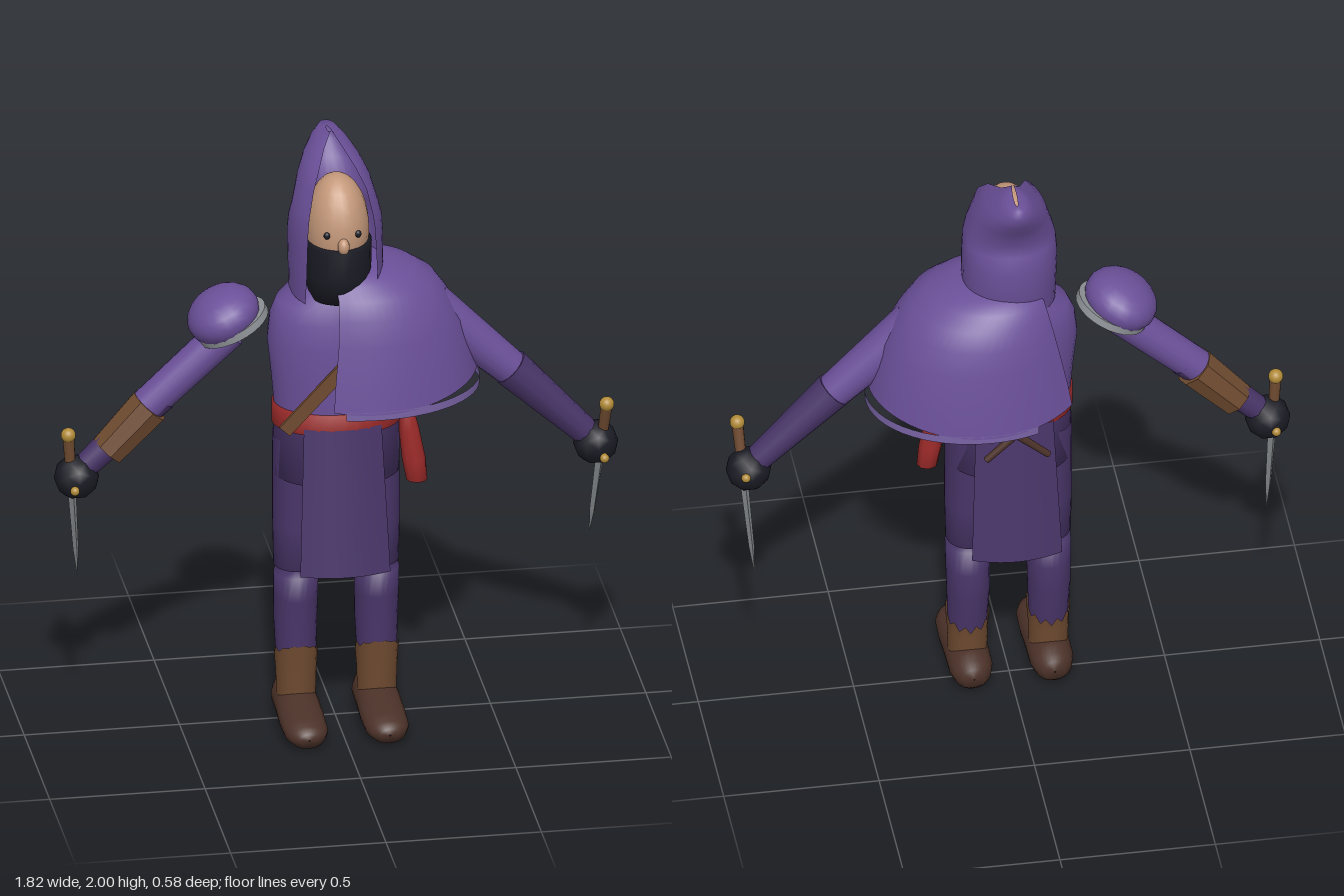
import * as THREE from 'three';

const mat = (name, color, side = THREE.FrontSide) => {
  const m = new THREE.MeshStandardMaterial({ color, side });
  m.name = name;
  return m;
};

export function createModel() {
  const D = THREE.DoubleSide;
  const purple = mat('purple cloth', 0x6b5099, D), dark = mat('dark purple cloth', 0x493569, D);
  const lilac = mat('lilac trim', 0x7a64a6, D), red = mat('red sash', 0x9e2b2a);
  const brown = mat('brown leather', 0x6e4a30, D), shoeBrown = mat('dark brown leather', 0x4c3229);
  const skin = mat('skin', 0xc4987a), black = mat('black cloth', 0x1b1b25);
  const gold = mat('gold', 0xb08a38), steel = mat('steel', 0x8e9296);
  const root = new THREE.Group();
  root.name = 'hoodedRogue';

  const add = (name, geo, material, parent = root) => {
    const m = new THREE.Mesh(geo, material);
    m.name = name;
    parent.add(m);
    return m;
  };

  // Grid surface from a rule f(row, column); columns may wrap round
  const surface = (rows, cols, f, closed = false) => {
    const pos = [], idx = [], n = closed ? cols : cols + 1;
    for (let i = 0; i < rows; i++) for (let j = 0; j < n; j++) pos.push(...f(i, j / cols));
    for (let i = 0; i < rows - 1; i++) for (let j = 0; j < cols; j++) {
      const a = i * n + j, b = i * n + (j + 1) % n;
      idx.push(a, a + n, b, b, a + n, b + n);
    }
    const g = new THREE.BufferGeometry();
    g.setAttribute('position', new THREE.Float32BufferAttribute(pos, 3));
    g.setIndex(idx);
    g.computeVertexNormals();
    return g;
  };

  // Stacked ellipses: [y, cx, cz, rx, rz]
  const loft = (rings, cols = 24) => surface(rings.length, cols, (i, t) => {
    const [y, cx, cz, rx, rz] = rings[i], a = t * Math.PI * 2;
    return [cx + rx * Math.cos(a), y, cz + rz * Math.sin(a)];
  }, true);

  // Tapered rod between two points
  const rod = (name, p, q, r1, r2, material, parent = root, sides = 18) => {
    const a = new THREE.Vector3(...p), b = new THREE.Vector3(...q), d = b.clone().sub(a);
    const m = add(name, new THREE.CylinderGeometry(r2, r1, d.length(), sides), material, parent);
    m.position.copy(a).add(b).multiplyScalar(0.5);
    m.quaternion.setFromUnitVectors(new THREE.Vector3(0, 1, 0), d.normalize());
    return m;
  };
  const ball = (name, p, r, material, parent = root, s = [1, 1, 1]) => {
    const m = add(name, new THREE.SphereGeometry(r, 20, 14), material, parent);
    m.position.set(...p);
    m.scale.set(...s);
    return m;
  };

  // Legs, boots and shoes
  for (const [side, s] of [['left', 1], ['right', -1]]) {
    const leg = new THREE.Group();
    leg.name = side + 'Leg';
    leg.position.x = s * 0.13;
    root.add(leg);
    add('thigh', loft([[0.55, 0, 0.02, 0.001, 0.001], [0.55, 0, 0.02, 0.071, 0.08],
      [0.7, 0, 0.02, 0.074, 0.088], [1.0, 0, 0.015, 0.074, 0.1]]), dark, leg);
    add('shin', loft([[0.1, 0, 0.025, 0.06, 0.06], [0.22, 0, 0.025, 0.064, 0.064],
      [0.35, 0, 0.012, 0.069, 0.08], [0.44, 0, 0.018, 0.071, 0.08],
      [0.525, 0, 0.026, 0.072, 0.076], [0.525, 0, 0.026, 0.001, 0.001]]), dark, leg);
    add('bootShaft', surface(3, 24, (i, t) => {
      const a = t * Math.PI * 2, sn = Math.sin(a), jag = Math.round(t * 24) % 2 ? 0.018 : -0.005;
      const y = [0.06, 0.18, 0.245 + 0.04 * sn + jag * (sn > 0.6 ? 0.2 : 1)][i], r = [0.062, 0.065, 0.07][i];
      return [r * Math.cos(a), y, 0.025 + r * sn];
    }, true), brown, leg);
    const shoe = [[-0.112, 0.065, 0.002, 0.002], [-0.106, 0.065, 0.035, 0.035], [-0.085, 0.066, 0.058, 0.055],
      [-0.04, 0.067, 0.07, 0.064], [0.05, 0.066, 0.071, 0.064], [0.14, 0.055, 0.073, 0.054],
      [0.23, 0.05, 0.07, 0.046], [0.27, 0.048, 0.055, 0.038], [0.288, 0.047, 0.03, 0.02], [0.292, 0.047, 0.002, 0.002]];
    add('shoe', loft(shoe.map(([z, cy, rx, ry]) => [z, 0, -cy, rx, ry])).rotateX(Math.PI / 2), shoeBrown, leg);
  }

  // Hips, torso and sash
  add('hips', loft([[0.87, 0, 0.02, 0.001, 0.001], [0.87, 0, 0.02, 0.203, 0.158], [1.1, 0, 0.025, 0.2, 0.148]], 32), dark);
  add('torso', loft([[1.08, 0, 0.025, 0.198, 0.145], [1.22, 0, 0.025, 0.21, 0.15], [1.34, 0, 0.02, 0.222, 0.155],
    [1.42, 0, 0.015, 0.212, 0.15], [1.47, 0, 0.01, 0.19, 0.14], [1.52, 0, 0, 0.13, 0.13], [1.57, 0, 0, 0.09, 0.1]], 32), purple);
  add('sash', loft([[1.05, 0, 0.028, 0.19, 0.14], [1.05, 0, 0.028, 0.208, 0.155],
    [1.12, 0, 0.028, 0.208, 0.155], [1.12, 0, 0.028, 0.18, 0.13]], 32), red);
  add('sashTail', loft([[0.82, 0.255, 0.05, 0.001, 0.001], [0.825, 0.255, 0.05, 0.034, 0.032], [0.9, 0.245, 0.05, 0.038, 0.034],
    [1.0, 0.23, 0.05, 0.033, 0.03], [1.07, 0.22, 0.05, 0.025, 0.025], [1.08, 0.22, 0.05, 0.001, 0.001]], 8), red);

  // Curved tabard panels hanging at front and back
  for (const [name, s, z0, z1] of [['frontPanel', 1, 0.183, 0.235], ['backPanel', -1, -0.14, -0.19]]) {
    add(name, surface(4, 10, (i, t) => {
      const k = i / 3, u = t * 2 - 1, w = 0.145 - 0.02 * k;
      return [u * w, 0.58 + 0.49 * k, z1 + (z0 - z1) * k - s * 0.03 * u * u];
    }), dark);
  }

  // Baldric strap
  const strap = add('strap', new THREE.BoxGeometry(0.36, 0.045, 0.012), brown);
  strap.position.set(-0.07, 1.215, 0.185);
  strap.rotation.z = 0.82;

  // Crossed sheaths on the back of the belt
  for (const s of [1, -1]) {
    rod('sheath', [-s * 0.1, 0.98, -0.165], [s * 0.1, 1.17, -0.165 - 0.012 * (s + 1)], 0.011, 0.015, shoeBrown);
    ball('sheathKnob', [s * 0.105, 1.175, -0.165 - 0.012 * (s + 1)], 0.02, gold);
  }

  // Lopsided shoulder cape: [y, cx, rx, rz, hem dip]
  const cape = [[1.17 + 0.035, 0.1, 0.355, 0.286, 0.045], [1.26, 0.1, 0.342, 0.276, 0.02], [1.38, 0.1, 0.308, 0.256, 0],
    [1.46, 0.09, 0.272, 0.236, 0], [1.52, 0.08, 0.24, 0.21, 0], [1.56, 0.06, 0.2, 0.175, 0],
    [1.585, 0.04, 0.145, 0.135, 0], [1.595, 0.02, 0.09, 0.09, 0]];
  const rad = Math.PI / 180;
  add('cape', surface(cape.length, 40, (i, t) => {
    const [y, cx, rx, rz, dip] = cape[i], a = (-140 + 254 * t) * rad;
    return [cx + rx * Math.cos(a), y - dip * Math.sin(a) ** 2, -0.005 + rz * Math.sin(a)];
  }), purple);
  add('capeTrim', surface(2, 36, (i, t) => {
    const a = (-115 + 222 * t) * rad;
    return [0.1 + 0.363 * Math.cos(a), 1.142 + 0.028 * i, -0.005 + 0.285 * Math.sin(a)];
  }), lilac);

  // Hood with an open front and a peak swept back: [y, front z, back z, half width, half opening]
  const hood = [[1.5, 0.14, -0.13, 0.148, 0.118], [1.58, 0.14, -0.142, 0.15, 0.114], [1.69, 0.135, -0.156, 0.152, 0.11],
    [1.75, 0.13, -0.135, 0.148, 0.107], [1.79, 0.122, -0.125, 0.138, 0.102], [1.87, 0.1, -0.165, 0.115, 0.085],
    [1.92, 0.05, -0.2, 0.088, 0.06], [1.96, -0.03, -0.21, 0.056, 0.03], [1.985, -0.06, -0.2, 0.032, 0.012], [1.995, -0.075, -0.16, 0.006, 0.002]];
  add('hood', surface(hood.length, 28, (i, t) => {
    const [y, zf, zb, w, open] = hood[i], a0 = Math.asin(open / w), a = a0 + t * 2 * (Math.PI - a0);
    const zc = (zf + zb) / 2, c = Math.cos(a), half = (zf - zb) / 2;
    const lift = i === hood.length - 1 ? -0.02 * t * (1 - t) * 4 + 0.005 : 0;
    return [-w * Math.sin(a), y + lift, zc + half * (c > 0 ? c / Math.cos(a0) : c)];
  }), purple);

  // Head, mask and features
  ball('head', [0, 1.72, 0.04], 0.1, skin, root, [1.02, 1.83, 1.27]);
  add('mask', loft([[1.5, 0, 0.05, 0.001, 0.001], [1.5, 0, 0.05, 0.1, 0.12], [1.58, 0, 0.05, 0.106, 0.13],
    [1.685, 0, 0.05, 0.108, 0.137], [1.69, 0, 0.05, 0.098, 0.115]]), black);
  ball('nose', [0, 1.705, 0.17], 0.022, skin, root, [0.85, 1.25, 1]);
  for (const s of [1, -1]) ball('eye', [s * 0.05, 1.738, 0.149], 0.012, black, root, [0.9, 1, 0.7]);

  // Arms
  rod('leftUpperArm', [0.3, 1.42, 0.02], [0.6, 1.14, 0.02], 0.075, 0.056, purple);
  rod('leftForearm', [0.56, 1.18, 0.02], [0.8, 0.94, 0.02], 0.064, 0.045, dark, root, 10);
  rod('rightUpperArm', [-0.345, 1.375, 0.02], [-0.61, 1.13, 0.02], 0.06, 0.056, purple);
  rod('rightForearm', [-0.565, 1.165, 0.02], [-0.8, 0.94, 0.02], 0.056, 0.042, dark, root, 10);
  const bracer = rod('bracer', [-0.6, 1.13, 0.02], [-0.735, 0.985, 0.02], 0.069, 0.06, brown, root, 8);
  bracer.geometry = bracer.geometry.toNonIndexed();
  bracer.geometry.computeVertexNormals();

  // Hands with daggers held point down
  for (const [side, s, pommelZ, tipZ] of [['left', 1, 0.07, -0.07], ['right', -1, 0.03, 0.01]]) {
    const hand = add(side + 'Hand', new THREE.IcosahedronGeometry(0.073, 1), black);
    hand.position.set(s * 0.835, 0.9, 0.02);
    const dagger = new THREE.Group();
    dagger.name = side + 'Dagger';
    root.add(dagger);
    const top = new THREE.Vector3(s * 0.863, 1.05, pommelZ), tip = new THREE.Vector3(s * 0.83, 0.55, tipZ);
    dagger.position.copy(top);
    dagger.quaternion.setFromUnitVectors(new THREE.Vector3(0, -1, 0), tip.clone().sub(top).normalize());
    const length = top.distanceTo(tip);
    rod('grip', [0, -0.2, 0], [0, 0, 0], 0.015, 0.019, brown, dagger, 12);
    ball('pommel', [0, 0, 0], 0.024, gold, dagger);
    rod('guard', [0, -0.165, -0.07], [0, -0.165, 0.07], 0.011, 0.011, gold, dagger, 12);
    for (const e of [1, -1]) ball('guardKnob', [0, -0.165, e * 0.072], 0.015, gold, dagger);
    const blade = loft([[-length, 0, 0, 0.001, 0.001], [-length + 0.09, 0, 0, 0.009, 0.026], [-0.17, 0, 0, 0.014, 0.033]], 4).toNonIndexed();
    blade.computeVertexNormals();
    add('blade', blade, steel, dagger);
  }

  // Tilted shoulder guard with a metal rim
  const guard = new THREE.Group();
  guard.name = 'shoulderGuard';
  guard.position.set(-0.335, 1.4, 0.018);
  guard.rotation.z = 0.44;
  root.add(guard);
  ball('guardDome', [-0.012, 0.04, 0], 0.125, purple, guard, [0.96, 0.68, 1.05]);
  add('guardRim', new THREE.CylinderGeometry(0.122, 0.122, 0.026, 28), steel, guard);

  return root;
}
